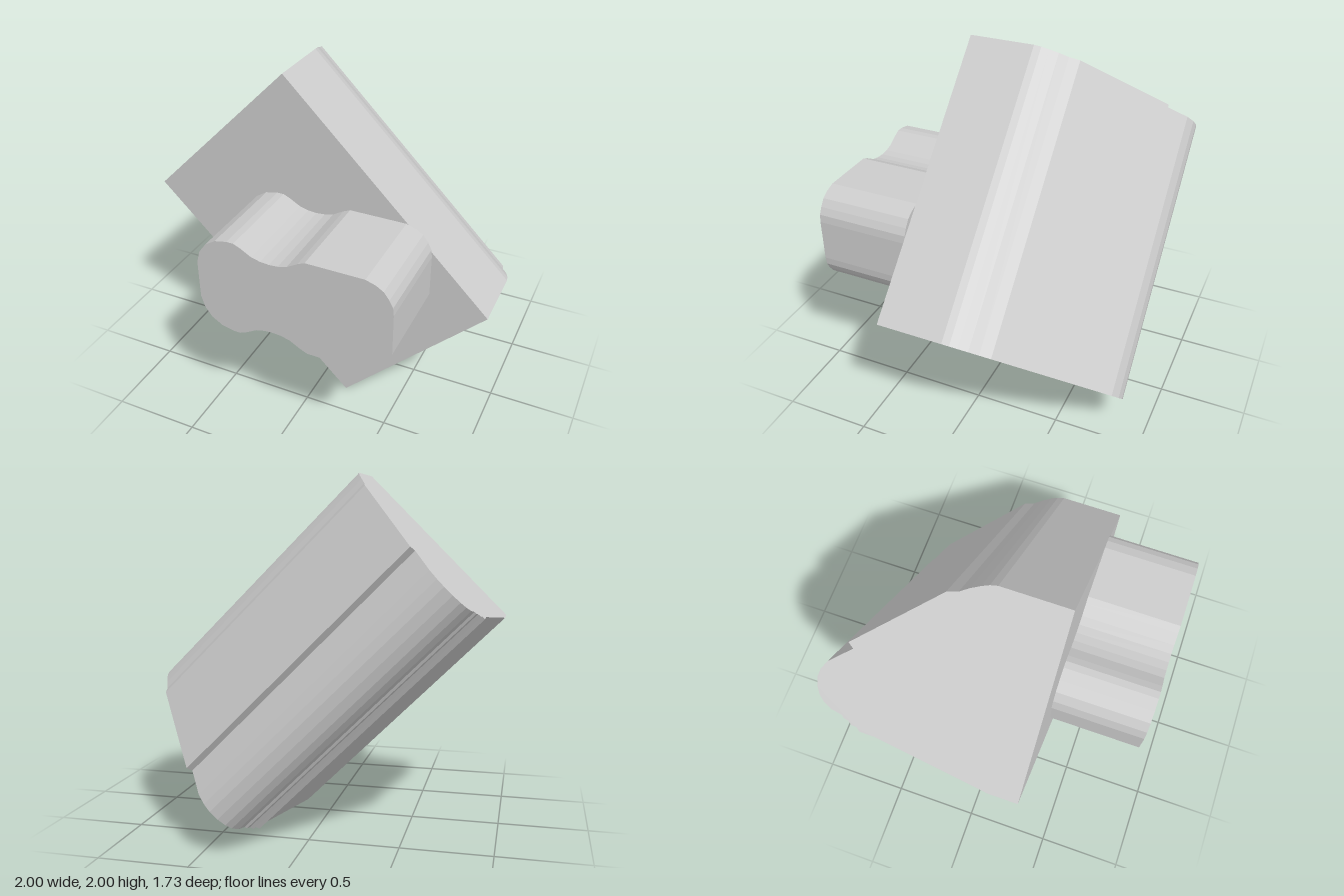
import * as THREE from 'three';

const material = new THREE.MeshStandardMaterial({ color: 0xcccccc, flatShading: true });

// Slanted block: one cross-section swept along the downhill diagonal
function createBlock() {
  const section = [
    [0, 0.33], [0, 0.16], [0.074, -0.5], [0.074, -0.59], [0.09, -0.61], [0.09, -0.64],
    [0.105, -0.66], [0.11, -0.69], [0.12, -0.7], [0.13, -0.765], [0.15, -0.81],
    [0.175, -0.84], [0.21, -0.86], [0.25, -0.866], [0.285, -0.855], [0.325, -0.825],
    [0.41, -0.7], [0.43, -0.73], [0.74, -0.29], [0.755, -0.23], [0.78, -0.18],
    [0.8, -0.13], [0.813, -0.09], [0.82, -0.05], [0.82, 0], [0.82, 0.33],
  ].map(([s, z]) => new THREE.Vector2(s * Math.SQRT2, z));

  const geometry = new THREE.ExtrudeGeometry(new THREE.Shape(section), {
    depth: 1.18 * Math.SQRT2, bevelEnabled: false,
  });
  // section width runs up-right, section height along z, sweep down-right
  const basis = new THREE.Matrix4().makeBasis(
    new THREE.Vector3(1, 1, 0).normalize(),
    new THREE.Vector3(0, 0, 1),
    new THREE.Vector3(1, -1, 0).normalize(),
  );
  geometry.applyMatrix4(basis.setPosition(-1, 1.18, 0));
  const block = new THREE.Mesh(geometry, material);
  block.name = 'slantedBlock';
  return block;
}

// Waisted peg: rounded ends and a shallow groove above and below
function createPeg() {
  const upper = [
    [0.67, 0.12], [0.665, 0.165], [0.645, 0.205], [0.615, 0.245], [0.575, 0.27], [0.52, 0.288],
    [0.2, 0.288], [0.16, 0.27], [0.1, 0.235], [0.05, 0.222], [0, 0.218],
    [-0.05, 0.222], [-0.1, 0.235], [-0.16, 0.27], [-0.2, 0.288],
    [-0.24, 0.288], [-0.31, 0.273], [-0.37, 0.235], [-0.41, 0.18], [-0.43, 0.11],
  ];
  const lower = upper.map(([x, y]) => [x, -y]).reverse();
  const outline = [...upper, ...lower].map(([x, y]) => new THREE.Vector2(x, y));
  const geometry = new THREE.ExtrudeGeometry(new THREE.Shape(outline), {
    depth: 0.536, bevelEnabled: false,
  });
  const peg = new THREE.Mesh(geometry, material);
  peg.position.set(0, 1.003, 0.33);
  peg.name = 'waistedPeg';
  return peg;
}

export function createModel() {
  const model = new THREE.Group();
  model.name = 'slantedBlockWithPeg';
  model.add(createBlock(), createPeg());
  return model;
}
